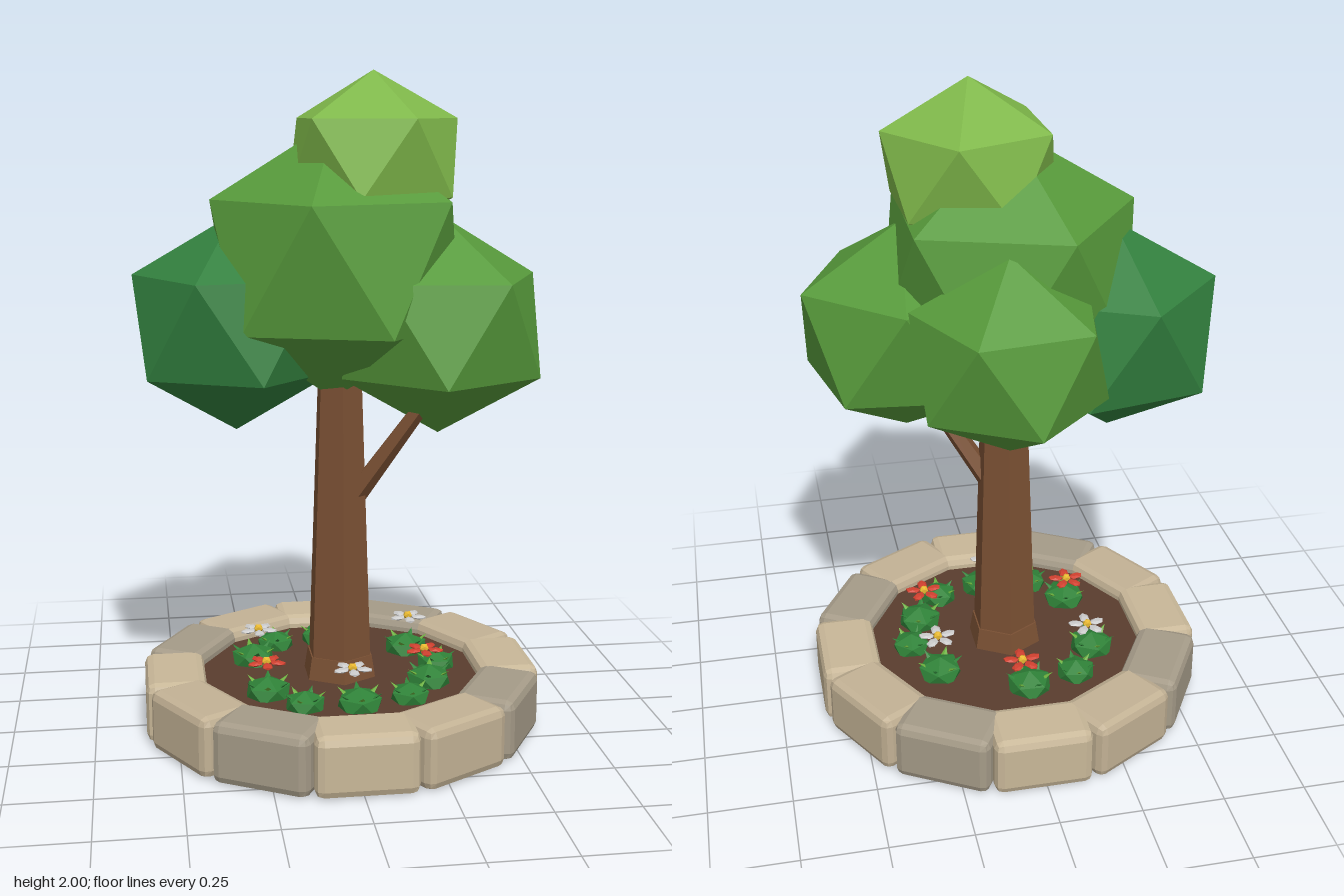
import * as THREE from 'three';
import { RoundedBoxGeometry } from 'three/addons/geometries/RoundedBoxGeometry.js';

const CX = 0.01; // planter and trunk axis
const rad = THREE.MathUtils.degToRad;
const mat = (color) => new THREE.MeshStandardMaterial({ color, flatShading: true });

const M = {
  stones: [mat(0xc8b798), mat(0xc2b194), mat(0xa59b88)],
  soil: mat(0x5a3d2e),
  bark: mat(0x7a5033),
  leafTop: mat(0x7fb84a),
  leafMid: mat(0x579a3b),
  leafDark: mat(0x32803e),
  shrub: mat(0x2f8238),
  shrubLight: mat(0x6aae3c),
  red: mat(0xd0402f),
  white: mat(0xf0f0ee),
  yellow: mat(0xe8b830),
};

function add(parent, name, geometry, material, x = 0, y = 0, z = 0) {
  const mesh = new THREE.Mesh(geometry, material);
  mesh.name = name;
  mesh.position.set(x, y, z);
  parent.add(mesh);
  return mesh;
}

// Icosahedron standing on a corner, one upper-ring corner at the given angle from +z
function crownGeometry(r, spin, squash = 1) {
  return new THREE.IcosahedronGeometry(r, 0)
    .rotateX(-Math.atan((1 + Math.sqrt(5)) / 2))
    .rotateY(rad(spin))
    .scale(1, squash, 1);
}

// Tapered limb between two points
function limb(parent, name, a, b, rBottom, rTop, sides) {
  const dir = b.clone().sub(a);
  const mesh = add(parent, name, new THREE.CylinderGeometry(rTop, rBottom, dir.length(), sides), M.bark);
  mesh.position.copy(a).addScaledVector(dir, 0.5);
  mesh.quaternion.setFromUnitVectors(new THREE.Vector3(0, 1, 0), dir.normalize());
}

function planter() {
  const g = new THREE.Group();
  g.name = 'planter';
  const block = new RoundedBoxGeometry(0.3, 0.185, 0.185, 1, 0.026);
  for (let i = 0; i < 12; i++) {
    const a = rad(i * 30);
    const stone = add(g, 'stoneBlock', block, M.stones[i % 3],
      CX + Math.sin(a) * 0.513, 0.0975, Math.cos(a) * 0.513);
    stone.rotation.y = a;
  }
  add(g, 'soil', new THREE.CylinderGeometry(0.44, 0.44, 0.13, 24), M.soil, CX, 0.085, 0);
  return g;
}

function flower(color) {
  const g = new THREE.Group();
  g.name = 'flower';
  const petal = new THREE.IcosahedronGeometry(1, 0).scale(0.017, 0.007, 0.027).translate(0, 0, 0.036);
  for (let i = 0; i < 5; i++) add(g, 'petal', petal, color).rotation.y = rad(i * 72);
  add(g, 'flowerCentre', new THREE.IcosahedronGeometry(0.015, 0), M.yellow, 0, 0.004, 0);
  return g;
}

// Low clump with pointed leaves round its rim
function shrub(size, spin) {
  const g = new THREE.Group();
  g.name = 'shrub';
  add(g, 'shrubBody', crownGeometry(size, spin, 0.65), M.shrub);
  const leaf = new THREE.ConeGeometry(size * 0.32, size * 0.9, 4)
    .scale(1, 1, 0.4).rotateX(rad(55)).translate(0, size * 0.3, size * 0.6);
  for (let i = 0; i < 6; i++) {
    add(g, 'shrubLeaf', leaf, i % 2 ? M.shrub : M.shrubLight).rotation.y = rad(spin + i * 60);
  }
  return g;
}

function flowerBed() {
  const g = new THREE.Group();
  g.name = 'flowerBed';
  const heights = [0.265, 0.262, 0.272, 0.245, 0.25, 0.245];
  const place = (item, deg, r, y) => {
    item.position.set(CX + Math.sin(rad(deg)) * r, y, Math.cos(rad(deg)) * r);
    g.add(item);
  };
  for (let i = 0; i < 6; i++) {
    place(flower(i % 2 ? M.red : M.white), i * 60, 0.28, heights[i]);
    place(shrub(0.075, i * 47), i * 60 + 4, 0.29, 0.16);
  }
  // Extra clumps between the flowers
  [35, 92, 215, 333].forEach((deg, i) => place(shrub(0.065, i * 31), deg, 0.31, 0.16));
  return g;
}

export function createModel() {
  const model = new THREE.Group();
  model.name = 'treeInPlanter';
  model.add(planter(), flowerBed());

  // Trunk, root flare and side branch
  const v = (x, y, z) => new THREE.Vector3(x, y, z);
  limb(model, 'trunk', v(CX, 0.03, 0), v(CX, 1.25, 0.005), 0.11, 0.066, 6);
  limb(model, 'rootFlare', v(CX, 0.1, 0), v(CX, 0.22, 0), 0.128, 0.108, 6);
  limb(model, 'branch', v(0.05, 0.72, 0.02), v(0.24, 1.02, 0.12), 0.035, 0.025, 5);

  // Foliage: position, radius, spin, vertical squash, colour
  const crowns = [
    ['crownMain', 0, 1.44, 0, 0.42, -18, 1, M.leafMid],
    ['crownTop', 0.105, 1.75, 0.032, 0.283, 20, 0.885, M.leafTop],
    ['crownLeft', 0.3, 1.255, 0.07, 0.345, 30, 0.95, M.leafMid],
    ['crownRight', -0.3, 1.255, -0.055, 0.345, -25, 0.95, M.leafDark],
    ['crownBack', 0.055, 1.295, -0.3, 0.312, 7, 0.95, M.leafMid],
  ];
  for (const [name, x, y, z, r, spin, squash, material] of crowns) {
    add(model, name, crownGeometry(r, spin, squash), material, x, y, z);
  }
  return model;
}
